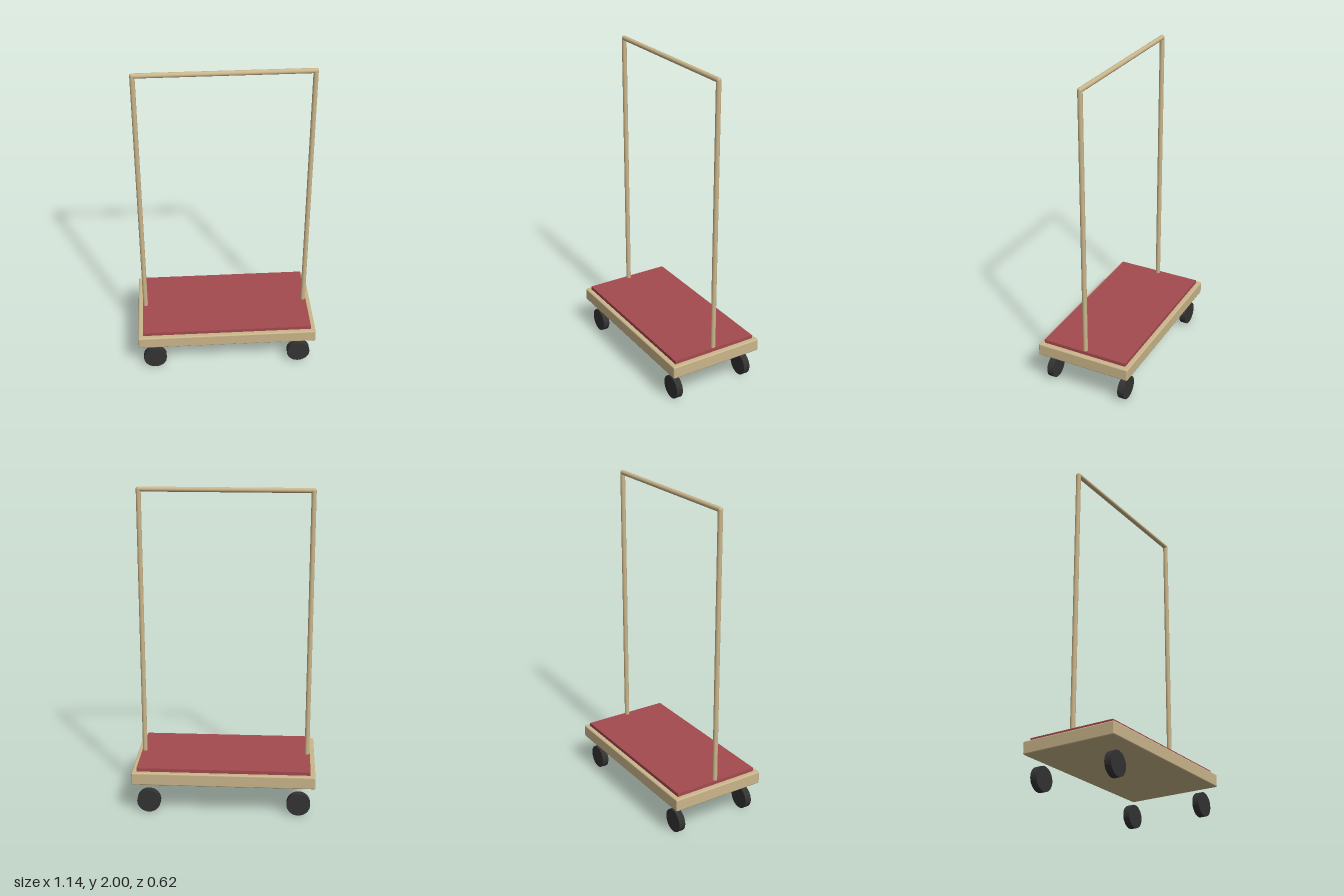
import * as THREE from 'three';
import { RoundedBoxGeometry } from 'three/addons/geometries/RoundedBoxGeometry.js';

export function createModel() {
  const group = new THREE.Group();
  group.name = 'luggageCart';

  const material = (name, color) => {
    const m = new THREE.MeshStandardMaterial({ color });
    m.name = name;
    return m;
  };
  const brass = material('brass', 0xcbb68b);
  const carpetRed = material('carpet red', 0xa34a4f);
  const rubber = material('rubber', 0x333333);

  const add = (name, geometry, mat, x, y, z) => {
    const mesh = new THREE.Mesh(geometry, mat);
    mesh.name = name;
    mesh.position.set(x, y, z);
    group.add(mesh);
    return mesh;
  };

  // Platform with softened edges and a carpet pad on top
  add('deck', new RoundedBoxGeometry(1.136, 0.08, 0.616, 3, 0.008), brass, 0, 0.24, 0);
  add('carpet', new THREE.BoxGeometry(1.076, 0.025, 0.56), carpetRed, 0, 0.2895, 0);

  // Upright hoop: two posts, a top rail and rounded corner joints
  const r = 0.015, postX = 0.52, railY = 2 - r, postBase = 0.27;
  const postGeo = new THREE.CylinderGeometry(r, r, railY - postBase, 20);
  const jointGeo = new THREE.SphereGeometry(r, 20, 12);
  for (const side of [1, -1]) {
    const label = side > 0 ? 'left' : 'right';
    add(`${label}Post`, postGeo, brass, side * postX, (railY + postBase) / 2, 0);
    add(`${label}Joint`, jointGeo, brass, side * postX, railY, 0);
  }
  const rail = add('topRail', new THREE.CylinderGeometry(r, r, postX * 2, 20), brass, 0, railY, 0);
  rail.rotation.z = Math.PI / 2;

  // Four wheels with their axles along z
  const wheelR = 0.0735;
  const wheelGeo = new THREE.CylinderGeometry(wheelR, wheelR, 0.042, 32).rotateX(Math.PI / 2);
  for (const sx of [1, -1]) {
    for (const sz of [1, -1]) {
      const name = `${sz > 0 ? 'front' : 'back'}${sx > 0 ? 'Left' : 'Right'}Wheel`;
      add(name, wheelGeo, rubber, sx * 0.467, wheelR, sz * 0.248);
    }
  }

  return group;
}
